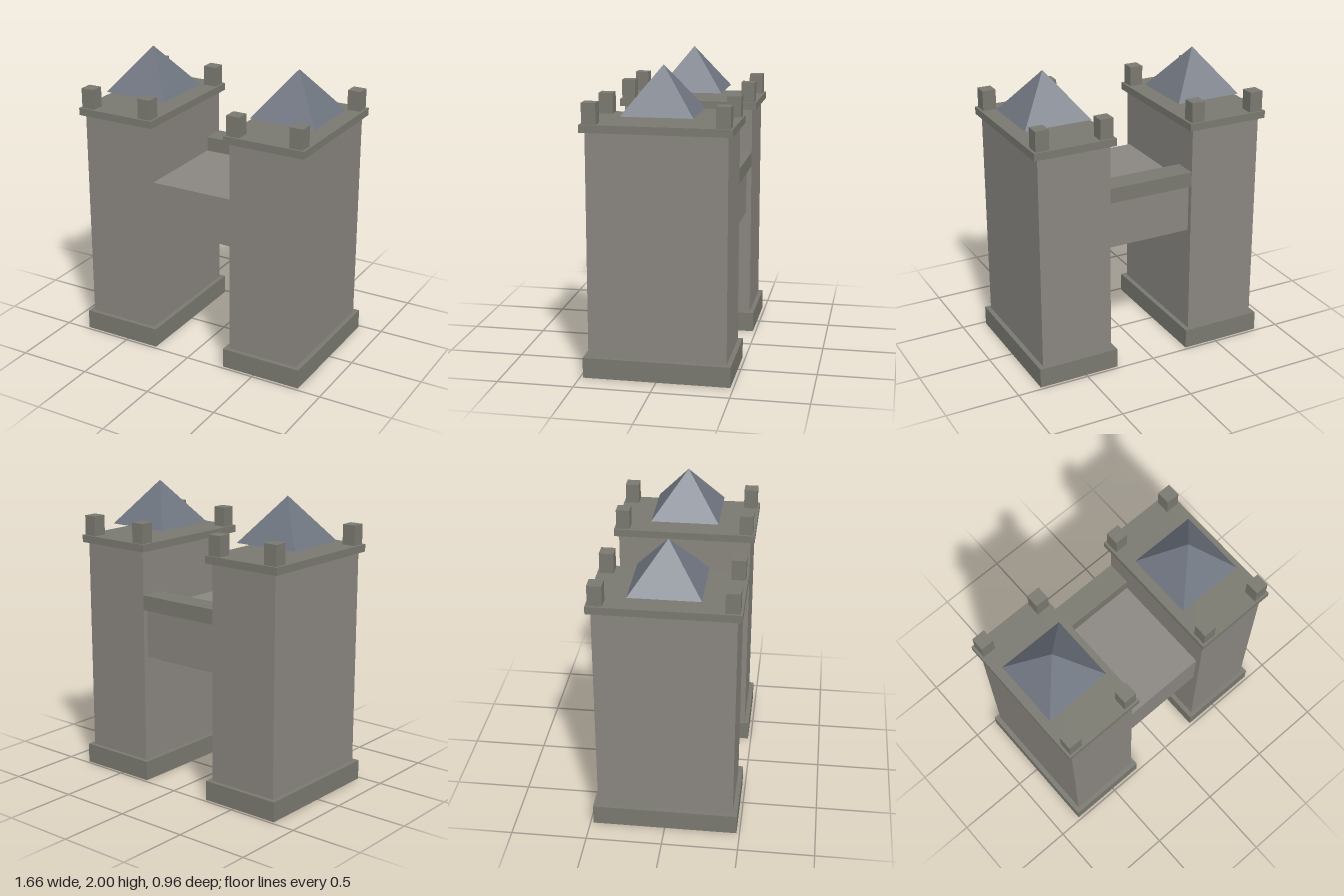
import * as THREE from 'three';

const material = (color) => new THREE.MeshStandardMaterial({ color, flatShading: true });

export function createModel() {
  const model = new THREE.Group();
  model.name = 'twinTowerGatehouse';
  const wall = material(0x8a8680);
  const trim = material(0x7a7970);
  const slate = material(0x6f7580);

  // Box given by its centre in x and z, its size, and its bottom and top
  function box(parent, name, mat, x, z, width, depth, bottom, top) {
    const mesh = new THREE.Mesh(new THREE.BoxGeometry(width, top - bottom, depth), mat);
    mesh.position.set(x, (bottom + top) / 2, z);
    mesh.name = name;
    parent.add(mesh);
  }

  // Two matching towers
  for (const side of [-1, 1]) {
    const tower = new THREE.Group();
    tower.name = side > 0 ? 'leftTower' : 'rightTower';
    tower.position.x = side * 0.55;
    model.add(tower);

    box(tower, 'plinth', trim, 0, 0, 0.565, 0.96, 0, 0.135);
    box(tower, 'shaft', wall, 0, 0, 0.5, 0.9, 0.135, 1.6);
    box(tower, 'cornice', trim, 0, 0, 0.565, 0.96, 1.6, 1.65);

    // Corner merlons
    for (const x of [-0.22, 0.22]) {
      for (const z of [-0.42, 0.42]) box(tower, 'merlon', trim, x, z, 0.092, 0.092, 1.65, 1.785);
    }

    // Pyramid roof, floating just above the cornice
    const cone = new THREE.ConeGeometry(0.23 * Math.SQRT2, 0.3, 4).rotateY(Math.PI / 4);
    const roof = new THREE.Mesh(cone, slate);
    roof.position.y = 1.85;
    roof.name = 'roof';
    tower.add(roof);
  }

  // Bridge between the towers, with a parapet along the back
  box(model, 'bridge', wall, 0, 0, 0.6, 0.83, 0.87, 1.2);
  box(model, 'parapet', trim, 0, -0.367, 0.6, 0.165, 1.2, 1.3);

  // Raised gate, its lower edge showing under the bridge
  box(model, 'raisedGate', slate, 0, -0.35, 0.43, 0.04, 0.85, 1.15);

  return model;
}
